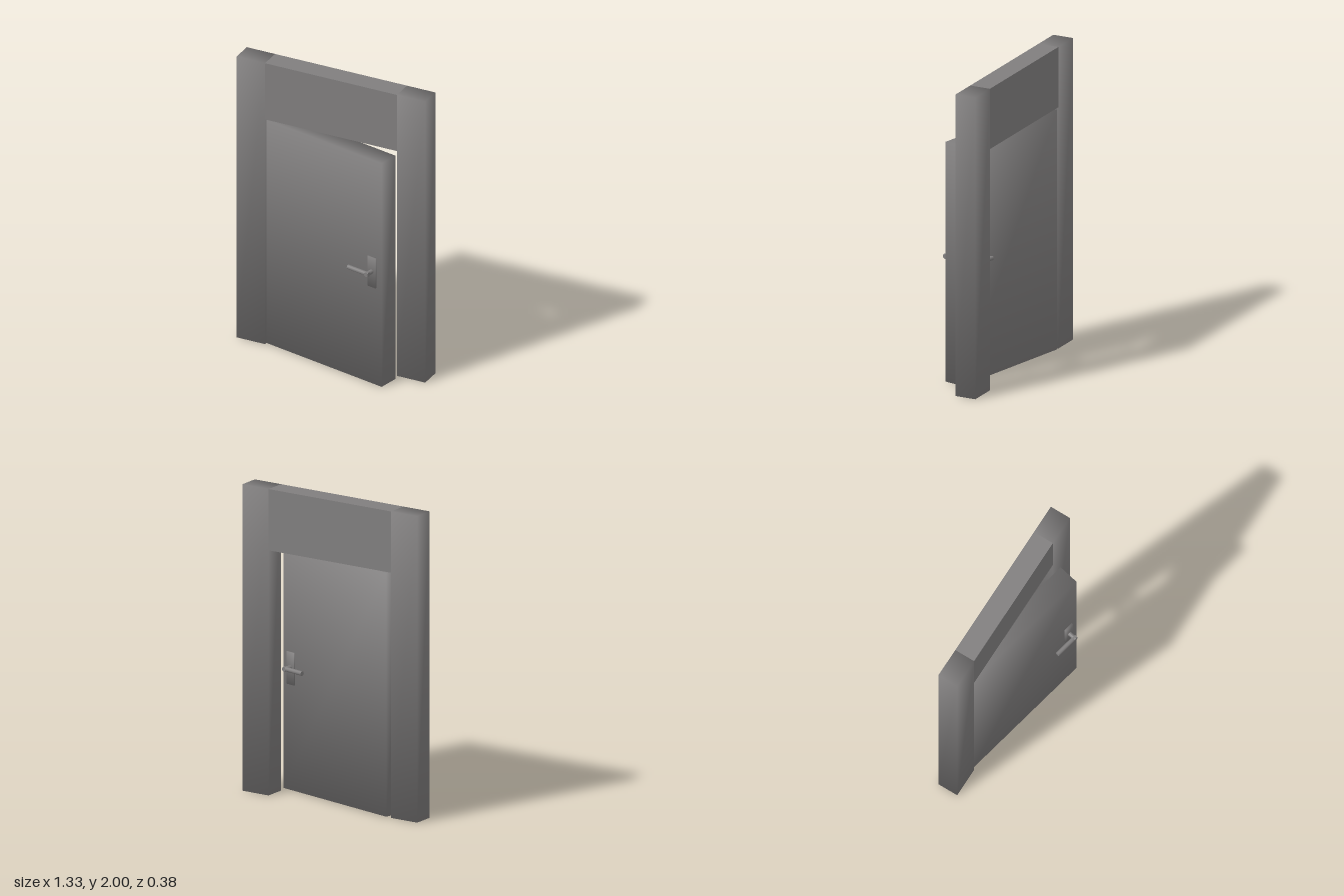
import * as THREE from 'three';

const grey = new THREE.MeshStandardMaterial({ color: 0x807e7e });
grey.name = 'grey';

function addMesh(parent, name, geometry, x, y, z) {
  const mesh = new THREE.Mesh(geometry, grey);
  mesh.name = name;
  mesh.position.set(x, y, z);
  parent.add(mesh);
  return mesh;
}

// Box whose corner normals point diagonally outward, giving a softly shaded block
function softBox(w, h, d) {
  const geometry = new THREE.BoxGeometry(w, h, d);
  const p = geometry.attributes.position;
  const n = geometry.attributes.normal;
  const v = new THREE.Vector3();
  for (let i = 0; i < p.count; i++) {
    v.set(Math.sign(p.getX(i)), Math.sign(p.getY(i)), Math.sign(p.getZ(i))).normalize();
    n.setXYZ(i, v.x, v.y, v.z);
  }
  return geometry;
}

// Plate, stem and lever; side = 1 for the front of the door, -1 for the back
function makeHandle(side) {
  const handle = new THREE.Group();
  handle.name = side > 0 ? 'frontHandle' : 'backHandle';
  addMesh(handle, 'handlePlate', softBox(0.065, 0.213, 0.012), 0, -0.005, side * 0.005);
  const stem = addMesh(handle, 'handleStem',
    new THREE.CylinderGeometry(0.0145, 0.0145, 0.069, 16), 0, 0, side * 0.0345);
  stem.rotation.x = Math.PI / 2;
  const lever = addMesh(handle, 'handleLever',
    new THREE.CylinderGeometry(0.0145, 0.0145, 0.168, 16), -0.07, 0, side * 0.055);
  lever.rotation.z = Math.PI / 2;
  return handle;
}

export function createModel() {
  const model = new THREE.Group();
  model.name = 'doorway';

  // Frame: two posts and the panel above the opening
  for (const side of [-1, 1]) {
    addMesh(model, side > 0 ? 'leftPost' : 'rightPost', softBox(0.2, 2, 0.14), side * 0.566, 1, -0.118);
  }
  addMesh(model, 'lintel', new THREE.BoxGeometry(0.932, 0.4, 0.14), 0, 1.8, -0.118);

  // Door leaf, swung ajar about its hinge edge
  const width = 0.935, height = 1.59, depth = 0.137;
  const door = new THREE.Group();
  door.name = 'door';
  door.position.set(-0.434, 0, -0.194);
  door.rotation.y = THREE.MathUtils.degToRad(-12);
  addMesh(door, 'doorLeaf', softBox(width, height, depth), width / 2, 0.004 + height / 2, depth / 2);

  for (const side of [-1, 1]) {
    const handle = makeHandle(side);
    handle.position.set(0.862, 0.806, side > 0 ? depth : 0);
    door.add(handle);
  }
  model.add(door);
  return model;
}
